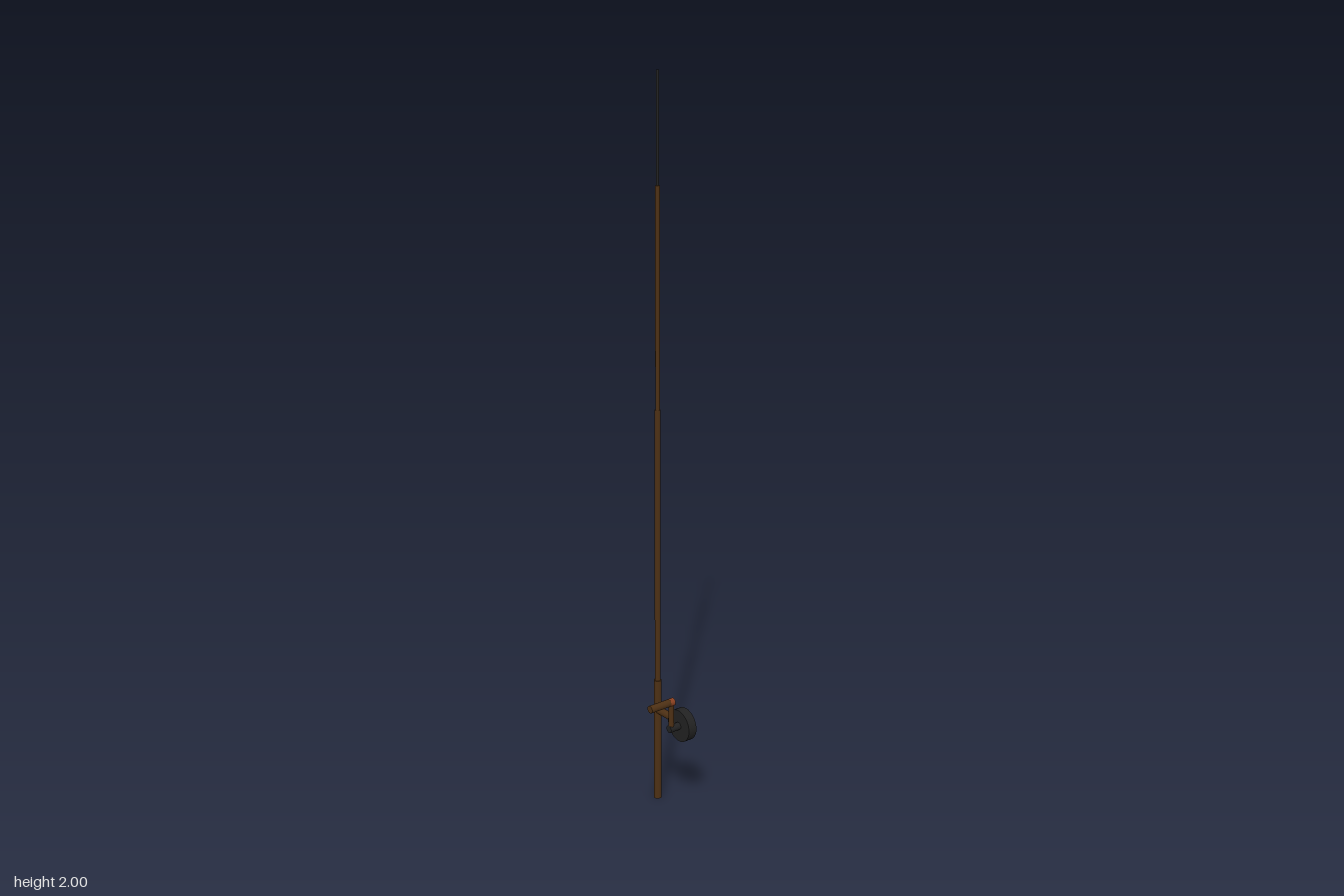
import * as THREE from 'three';

export function createModel() {
  const model = new THREE.Group();
  const paint = (color) => new THREE.MeshStandardMaterial({ color });
  const wood = paint(0x4d3014), black = paint(0x222222), copper = paint(0x8a4020);
  const UP = new THREE.Vector3(0, 1, 0);

  // Round bar between two points
  function bar(name, from, to, r0, r1, material, sides = 20) {
    const a = new THREE.Vector3(...from), b = new THREE.Vector3(...to);
    const dir = b.clone().sub(a);
    const mesh = new THREE.Mesh(new THREE.CylinderGeometry(r1, r0, dir.length(), sides), material);
    mesh.position.copy(a).add(b).multiplyScalar(0.5);
    mesh.quaternion.setFromUnitVectors(UP, dir.normalize());
    mesh.name = name;
    model.add(mesh);
  }

  // Rod: stepped sections, thinner towards the tip
  const px = -0.073, pz = -0.051;
  [
    ['rodGrip', 0, 0.365, 0.0107, wood],
    ['rodLowerSection', 0.365, 1.14, 0.008, wood],
    ['rodUpperSection', 1.14, 1.72, 0.006, wood],
    ['rodTip', 1.72, 2, 0.0035, black],
  ].forEach(([name, y0, y1, r, mat]) => bar(name, [px, y0, pz], [px, y1, pz], r, r, mat));

  // Reel on its side arm
  const rx = 0.036, ry = 0.272;
  bar('reelArm', [px, ry + 0.003, pz], [0, ry + 0.003, pz], 0.0105, 0.0105, wood);
  bar('reelDrum', [rx, ry, -0.0635], [rx, ry, -0.0375], 0.0455, 0.0455, black, 32);

  // Crank: axle, upright arm, collar and handle
  const hy = 0.351, cz = -0.0115;
  bar('crankAxle', [rx, ry, -0.04], [rx, ry, -0.004], 0.0105, 0.0105, black);
  bar('crankArm', [rx, ry - 0.008, cz], [rx, hy, cz], 0.0075, 0.0075, wood);
  bar('handleCollar', [rx, hy, -0.019], [rx, hy, -0.004], 0.0107, 0.0107, copper);
  bar('crankHandle', [rx, hy, -0.004], [rx, hy, 0.061], 0.0105, 0.0105, wood);

  return model;
}
